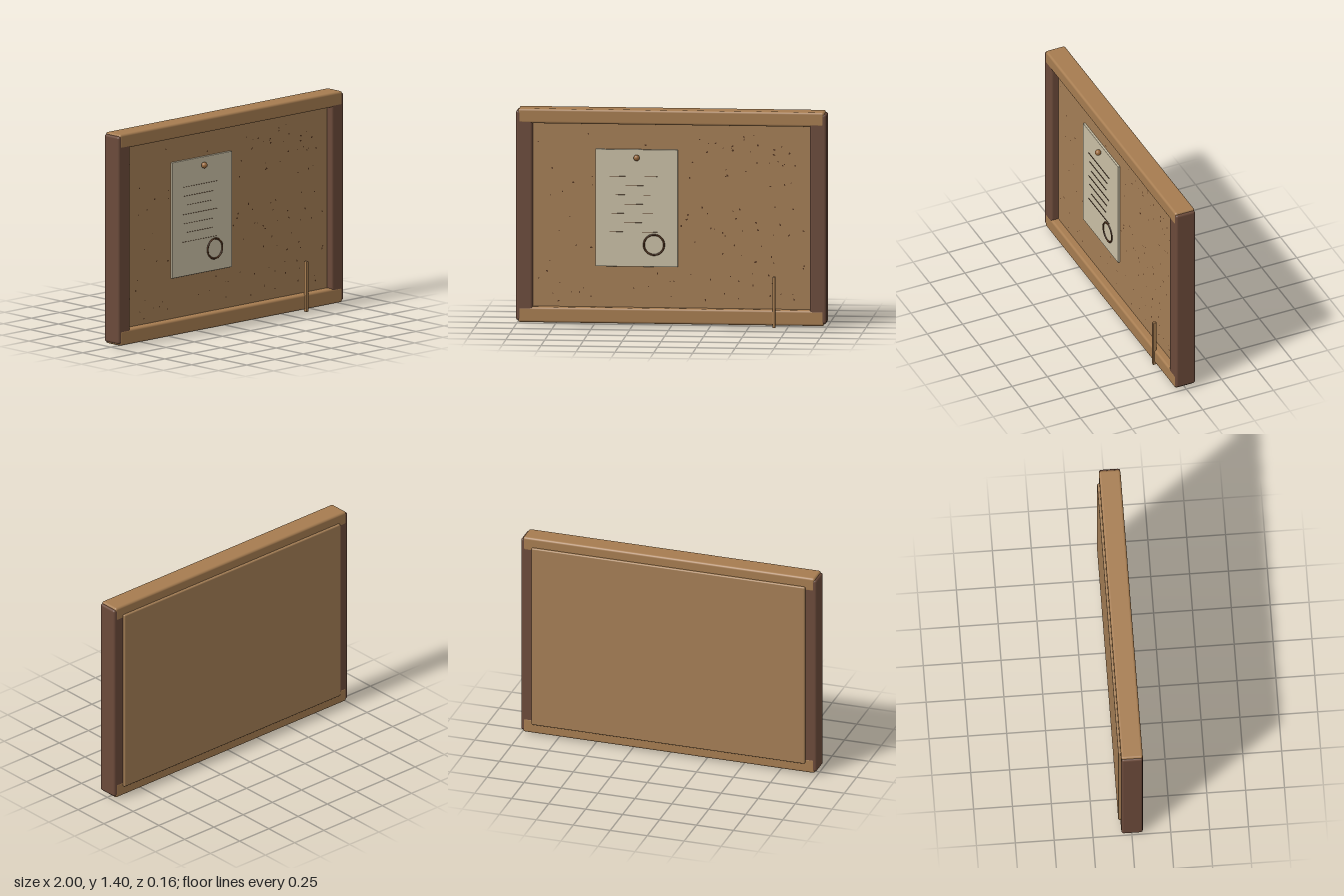
import * as THREE from 'three';
import { RoundedBoxGeometry } from 'three/addons/geometries/RoundedBoxGeometry.js';
import { mergeGeometries } from 'three/addons/utils/BufferGeometryUtils.js';

function material(name, color) {
  const m = new THREE.MeshStandardMaterial({ color });
  m.name = name;
  return m;
}

export function createModel() {
  const group = new THREE.Group();
  const lightWood = material('light wood', 0xa67c50);
  const darkWood = material('dark wood', 0x6b4a3a);
  const cork = material('cork', 0xa47e55);
  const paper = material('paper', 0xc9bfa5);
  const ink = material('dark brown', 0x50321c);
  const pinWood = material('pin brown', 0x9a6a3c);

  const add = (name, geometry, mat, x = 0, y = 0, z = 0) => {
    const mesh = new THREE.Mesh(geometry, mat);
    mesh.name = name;
    mesh.position.set(x, y, z);
    group.add(mesh);
    return mesh;
  };
  // Softened box given by its extents
  const block = (name, mat, [x0, x1], [y0, y1], [z0, z1], radius) =>
    add(name, new RoundedBoxGeometry(x1 - x0, y1 - y0, z1 - z0, 3, radius), mat,
      (x0 + x1) / 2, (y0 + y1) / 2, (z0 + z1) / 2);

  // Frame: light rails lapped over dark stiles
  block('topRail', lightWood, [-0.987, 0.987], [1.305, 1.4], [-0.067, 0.072], 0.015);
  block('bottomRail', lightWood, [-0.987, 0.987], [0.015, 0.115], [-0.067, 0.072], 0.015);
  for (const side of [-1, 1]) {
    const xs = side < 0 ? [-1, -0.893] : [0.893, 1];
    block(side < 0 ? 'rightStile' : 'leftStile', darkWood, xs, [0.027, 1.388], [-0.066, 0.071], 0.015);
  }

  // Board and backing panel
  const corkFront = 0.022;
  add('corkBoard', new THREE.BoxGeometry(1.82, 1.22, 0.06), cork, 0, 0.71, corkFront - 0.03);
  block('backPanel', cork, [-0.925, 0.925], [0.08, 1.335], [-0.082, -0.03], 0.009);

  // Cork specks, scattered clear of the note
  let seed = 7;
  const random = () => (seed = (seed * 16807) % 2147483647) / 2147483647;
  const specks = [];
  while (specks.length < 110) {
    const x = -0.86 + random() * 1.72;
    const y = 0.15 + random() * 1.12;
    const size = 0.003 + random() * 0.004;
    const turn = random() * Math.PI;
    if (x > -0.51 && x < 0.06 && y > 0.36 && y < 1.16) continue;
    const speck = new THREE.CircleGeometry(size, 6);
    speck.scale(1.3, 0.8, 1).rotateZ(turn).translate(x, y, corkFront + 0.002);
    specks.push(speck);
  }
  add('corkSpecks', mergeGeometries(specks), ink);

  // Pinned note
  const noteFront = 0.036;
  block('note', paper, [-0.49, 0.04], [0.38, 1.14], [corkFront - 0.002, noteFront], 0.003);
  const rows = [[-0.4, -0.09], [-0.385, -0.12], [-0.36, -0.135]];
  for (let i = 0; i < 7; i++) {
    const [x0, x1] = rows[i % 3];
    add('noteLine', new THREE.BoxGeometry(x1 - x0, 0.001, 0.006), ink,
      (x0 + x1) / 2, 0.965 - 0.06 * i, noteFront + 0.001);
  }
  add('cupRing', new THREE.TorusGeometry(0.065, 0.006, 8, 48), ink, -0.113, 0.523, noteFront + 0.001);

  // Pin: round head on a short shank
  add('pinHead', new THREE.SphereGeometry(0.02, 20, 14), pinWood, -0.223, 1.088, 0.054);
  const shank = add('pinShank', new THREE.CylinderGeometry(0.006, 0.006, 0.03, 10), pinWood, -0.223, 1.088, 0.04);
  shank.rotation.x = Math.PI / 2;

  // Thin stick standing against the lower rail
  block('stick', lightWood, [0.654, 0.674], [0, 0.332], [0.056, 0.083], 0.005);

  return group;
}
